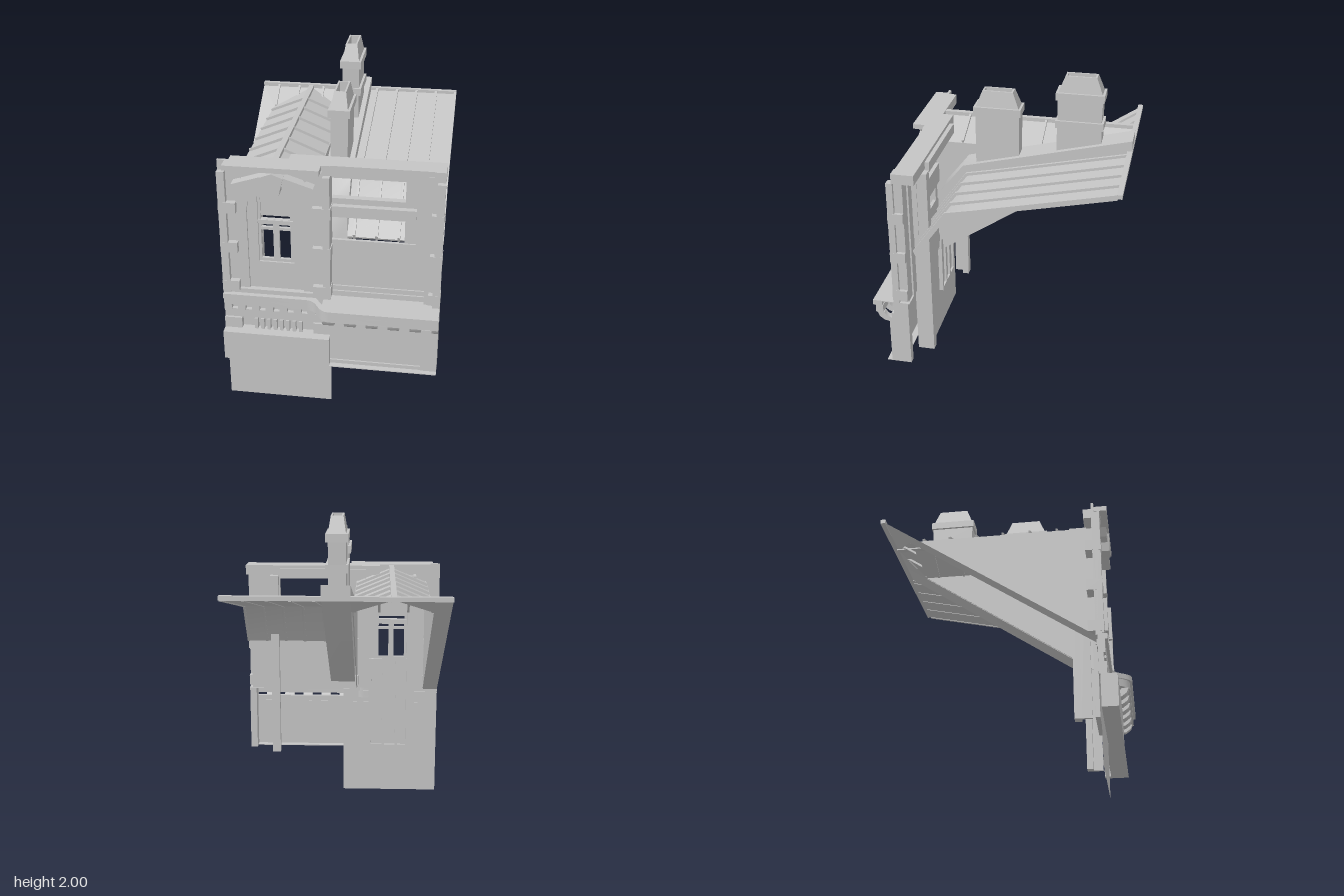
import * as THREE from 'three';
import { toCreasedNormals } from 'three/addons/utils/BufferGeometryUtils.js';

export function createModel() {
  const model = new THREE.Group();
  const stone = new THREE.MeshStandardMaterial({ color: 0xc4c4c4, side: THREE.DoubleSide });
  stone.name = 'stone grey';

  const add = (name, geo) => {
    const mesh = new THREE.Mesh(geo, stone);
    mesh.name = name;
    model.add(mesh);
    return mesh;
  };
  const box = (name, x0, x1, y0, y1, z0, z1) =>
    add(name, new THREE.BoxGeometry(x1 - x0, y1 - y0, z1 - z0)
      .translate((x0 + x1) / 2, (y0 + y1) / 2, (z0 + z1) / 2));
  const shapeOf = (pts) => new THREE.Shape(pts.map(([a, b]) => new THREE.Vector2(a, b)));
  const extrude = (shape, depth) =>
    new THREE.ExtrudeGeometry(shape, { depth, bevelEnabled: false, curveSegments: 10 });
  // side profile of [z, y] points, swept from x0 to x1
  const sweepX = (name, pts, x0, x1) =>
    add(name, toCreasedNormals(extrude(shapeOf(pts), x1 - x0).rotateY(-Math.PI / 2).translate(x1, 0, 0), 0.8));
  // front outline, swept from z0 to z1
  const sweepZ = (name, shape, z0, z1) => add(name, extrude(shape, z1 - z0).translate(0, 0, z0));
  // thin sheet of [x, z] points, lifted by a height rule
  const sheet = (name, pts, height) => {
    const geo = new THREE.ShapeGeometry(shapeOf(pts.map(([x, z]) => [x, -z])));
    const p = geo.attributes.position;
    for (let i = 0; i < p.count; i++) {
      const x = p.getX(i), z = -p.getY(i);
      p.setXYZ(i, x, height(x, z), z);
    }
    geo.computeVertexNormals();
    return add(name, geo);
  };
  const rectHole = (shape, x0, x1, y0, y1) =>
    shape.holes.push(new THREE.Path([[x0, y0], [x0, y1], [x1, y1], [x1, y0]].map(([a, b]) => new THREE.Vector2(a, b))));

  // ---- left bay: wall with an arched recess ----
  add('lowerWallSheet', new THREE.PlaneGeometry(0.634, 0.76).translate(-0.317, 0.38, 0.556));
  const archOutline = (path) => {
    path.moveTo(-0.48, 0.755);
    path.lineTo(-0.48, 1.28);
    path.bezierCurveTo(-0.48, 1.5, -0.16, 1.5, -0.16, 1.28);
    path.lineTo(-0.16, 0.755);
    path.closePath();
    return path;
  };
  const wall = shapeOf([[-0.634, 0.74], [0, 0.74], [0, 1.59], [-0.634, 1.59]]);
  wall.holes.push(archOutline(new THREE.Path()));
  sweepZ('leftWall', wall, 0.54, 0.556);
  const recess = archOutline(new THREE.Shape());
  rectHole(recess, -0.42, -0.215, 0.95, 1.37);
  sweepZ('archRecess', recess, 0.53, 0.542);

  // window frame, bars and upper pane
  const frame = shapeOf([[-0.42, 0.95], [-0.215, 0.95], [-0.215, 1.37], [-0.42, 1.37]]);
  rectHole(frame, -0.405, -0.335, 0.968, 1.155);
  rectHole(frame, -0.3, -0.235, 0.968, 1.155);
  rectHole(frame, -0.405, -0.335, 1.172, 1.19);
  rectHole(frame, -0.3, -0.235, 1.172, 1.19);
  rectHole(frame, -0.405, -0.235, 1.223, 1.357);
  sweepZ('windowFrame', frame, 0.51, 0.53);
  box('upperPane', -0.405, -0.235, 1.243, 1.357, 0.515, 0.521);
  box('windowTransom', -0.42, -0.215, 1.2, 1.222, 0.505, 0.54);
  // casing on the inside, below the window
  for (const x of [-0.47, -0.37, -0.28, -0.188]) box('lowerCasingPost', x, x + 0.018, 0.325, 0.95, 0.515, 0.53);
  for (const y of [0.325, 0.93]) box('lowerCasingRail', -0.47, -0.17, y, y + 0.018, 0.515, 0.53);
  box('lowerCasingPanel', -0.47, -0.17, 0.325, 0.95, 0.53, 0.541);

  // corner strips, pilasters and quoins
  box('leftCornerStrip', -0.634, -0.59, 0.75, 1.53, 0.55, 0.588);
  box('middleCornerStrip', -0.04, 0, 0.75, 1.53, 0.49, 0.588);
  box('rightCornerStrip', 0.59, 0.634, 0.742, 1.53, 0.55, 0.588);
  box('rightPilaster', 0.54, 0.615, 0.742, 1.56, 0.5, 0.556);
  box('rightLowerPilaster', 0.59, 0.634, 0.32, 0.745, 0.5, 0.59);
  for (const y of [0.765, 1.02, 1.275]) {
    box('leftQuoin', -0.635, -0.535, y, y + 0.066, 0.5, 0.59);
    box('middleQuoin', -0.1, 0.005, y, y + 0.066, 0.5, 0.59);
    box('rightQuoin', 0.565, 0.635, y, y + 0.066, 0.5, 0.59);
  }
  for (const s of [-1, 1]) {
    box('rearPillar', s * 0.448 - 0.027, s * 0.448 + 0.027, 0.32, 1.525, 0.4, 0.44);
    box('rearPillarFin', s * 0.467 - 0.008, s * 0.467 + 0.008, 0.32, 1.525, 0.44, 0.5);
  }

  // pediment and top cornice
  box('topCornice', -0.59, -0.05, 1.56, 1.59, 0.55, 0.63);
  sweepZ('pedimentBand', shapeOf([[-0.545, 1.475], [-0.515, 1.43], [-0.315, 1.495], [-0.115, 1.43],
    [-0.085, 1.475], [-0.315, 1.55]]), 0.55, 0.62);
  sweepZ('keystone', shapeOf([[-0.355, 1.425], [-0.275, 1.425], [-0.25, 1.53], [-0.315, 1.555], [-0.38, 1.53]]), 0.54, 0.63);
  for (const s of [-1, 1])
    sweepZ('pedimentWedge', shapeOf([[-0.315 + s * 0.27, 1.56], [-0.315 + s * 0.18, 1.5], [-0.315 + s * 0.13, 1.56]]), 0.55, 0.59);
  box('leftParapet', -0.57, 0, 1.53, 1.59, 0.49, 0.556);
  box('rightParapet', -0.24, 0.57, 1.53, 1.59, 0.425, 0.55);
  box('rightParapetEnd', 0.57, 0.634, 1.53, 1.59, 0.425, 0.556);
  box('rearLintel', -0.15, 0.41, 1.51, 1.57, 0.4, 0.43);

  // planter box and balusters of the left bay
  box('balconyBox', -0.634, 0, 0.32, 0.51, 0.558, 0.65);
  box('balconyRail', -0.634, 0, 0.58, 0.635, 0.55, 0.58);
  box('balconyPedestal', -0.634, -0.53, 0.51, 0.58, 0.55, 0.595);
  box('balconyPedestal', -0.1, 0, 0.51, 0.58, 0.55, 0.595);
  for (let i = 0; i < 8; i++) {
    const x = -0.455 + i * 0.038;
    box('baluster', x, x + 0.02, 0.51, 0.58, 0.56, 0.59);
  }

  // ---- cornice band stepping forward in a soft curve onto the right balcony ----
  const cornice = (name, front, back, y0, y1) => {
    const s = new THREE.Shape(), a = 0.605, b = 0.715;
    s.moveTo(-0.634, front - a);
    s.lineTo(-0.14, front - a);
    s.bezierCurveTo(-0.06, front - a, -0.07, front - b, 0.01, front - b);
    s.lineTo(0.634, front - b);
    s.lineTo(0.634, back - b);
    s.lineTo(0.01, back - b);
    s.bezierCurveTo(-0.07, back - b, -0.06, back - a, -0.14, back - a);
    s.lineTo(-0.634, back - a);
    s.closePath();
    add(name, toCreasedNormals(extrude(s, y1 - y0).rotateX(-Math.PI / 2).translate(0, y0, 0), 0.6));
  };
  cornice('corniceTop', 0, 0.055, 0.715, 0.747);
  cornice('corniceMiddle', 0.015, 0.06, 0.668, 0.715);
  box('balconyCover', -0.04, 0.634, 0.742, 0.747, 0.49, 0.67);
  box('wallBase', -0.634, 0, 0.745, 0.775, 0.54, 0.575);
  for (let i = 0; i < 8; i++)
    box('dentil', -0.634 + i * 0.083, -0.589 + i * 0.083, 0.635, 0.668, 0.55, 0.59);
  for (let i = 0; i < 6; i++) {
    const x = i * 0.126;
    sweepX('bracket', [[0.575, 0.607], [0.61, 0.607], [0.65, 0.615], [0.68, 0.638], [0.692, 0.668], [0.65, 0.668],
      [0.635, 0.645], [0.605, 0.635], [0.575, 0.635]], x - 0.032, Math.min(x + 0.032, 0.634));
  }

  // ---- right bay ----
  box('balconyFront', 0, 0.634, 0.32, 0.668, 0.58, 0.605);
  box('balconyFrontEnd', 0.54, 0.634, 0.32, 0.61, 0.58, 0.62);
  box('balconyFrontFoot', 0, 0.54, 0.32, 0.348, 0.58, 0.615);
  box('balconyBottomEdge', 0, 0.634, 0.32, 0.325, 0.54, 0.65);
  box('rightWall', 0, 0.54, 0.742, 1.11, 0.49, 0.51);
  box('rightSill', 0, 0.54, 0.78, 0.81, 0.5, 0.52);
  box('rightPlinth', 0, 0.54, 0.745, 0.78, 0.5, 0.53);
  box('middleRail', 0, 0.48, 1.28, 1.335, 0.46, 0.535);
  box('middleRailBacking', 0, 0.48, 1.25, 1.37, 0.46, 0.5);
  box('upperRail', 0, 0.54, 1.5, 1.53, 0.45, 0.51);
  box('sidePost', 0.415, 0.48, 1.11, 1.53, 0.46, 0.5);
  box('sideMargin', 0.48, 0.54, 1.11, 1.53, 0.49, 0.52);

  // ---- seamed roof over the right bay ----
  const roofLine = [[-0.69, 1.561], [0.1, 1.384], [0.246, 1.351], [0.437, 1.086]];
  const roofBand = (low, high) => [
    ...roofLine.map(([z, y]) => [z, y + low]),
    ...roofLine.map(([z, y], i) => [z + (i > 1 ? high * 0.5 : 0), y + high]).reverse(),
  ];
  sweepX('seamedRoof', roofBand(0, 0.012), 0.08, 0.634);
  for (const x of [0.12, 0.25, 0.377, 0.503, 0.626])
    sweepX('roofSeam', roofBand(-0.004, 0.028), x - 0.008, x + 0.008);
  box('roofBackBeam', -0.634, 0.634, 1.565, 1.59, -0.715, -0.685);

  // party wall that carries the chimneys
  sweepX('partyWall', [[-0.68, 1.563], [0.43, 0.812], [0.43, 1.225], [0.289, 1.404], [0.1, 1.451],
    [-0.712, 1.653], [-0.712, 1.59]], -0.08, 0.08);

  // ---- gabled roof behind the left bay ----
  const mid = -0.315, half = 0.225;
  const slope = (x) => 1.57 - Math.abs(x - mid) * 0.42;
  const mansard = (x, z) => 0.83 + (0.405 - z) * 0.675;
  sheet('mansardFlashing', [[-0.634, 0.55], [-0.54, 0.55], [-0.54, -0.55], [mid, -0.69], [-0.09, -0.55],
    [-0.08, -0.55], [-0.08, -0.69], [-0.634, -0.69]], mansard);
  for (const s of [-1, 1]) {
    const eave = mid + s * half;
    sheet('gableSlope', [[mid, 0.5], [eave, 0.5], [eave, -0.55], [mid, -0.69]], slope);
    sweepX('gableCheek', [[0.54, 0.739], [0.54, 1.475], [-0.55, 1.475]], eave - 0.003, eave + 0.003);
    for (let i = 0; i < 6; i++) {
      const rib = box('gableRib', -half / 2 * 1.08, half / 2 * 1.08, -0.012, 0.012, -0.006, 0.006);
      rib.rotation.z = -s * Math.atan(0.42);
      rib.position.set(mid + s * half / 2, slope(mid + half / 2) + 0.004, 0.33 - i * 0.16);
    }
    // short seams on the flashing beside the gable end
    for (const d of [0.08, 0.215])
      sweepX('flashingSeam', [[-0.55, 1.475], [-0.55, 1.49], [-0.69, 1.585], [-0.69, 1.57]],
        mid + s * d - 0.006, mid + s * d + 0.006);
  }
  box('gableRidge', mid - 0.016, mid + 0.016, 1.555, 1.586, -0.69, 0.5);

  // ---- chimneys: stacked rectangular rings, hollow at the top ----
  const chimney = (zc, rings) => {
    const pos = [], idx = [];
    rings.forEach(([y, hx, hz]) => pos.push(-hx, y, zc + hz, hx, y, zc + hz, hx, y, zc - hz, -hx, y, zc - hz));
    for (let r = 0; r < rings.length - 1; r++)
      for (let k = 0; k < 4; k++) {
        const a = r * 4 + k, b = r * 4 + (k + 1) % 4;
        idx.push(a, b, b + 4, a, b + 4, a + 4);
      }
    const e = (rings.length - 1) * 4;
    idx.push(e, e + 1, e + 2, e, e + 2, e + 3);
    const geo = new THREE.BufferGeometry();
    geo.setAttribute('position', new THREE.Float32BufferAttribute(pos, 3));
    geo.setIndex(idx);
    const flat = geo.toNonIndexed();
    flat.computeVertexNormals();
    add('chimney', flat);
  };
  const stack = (zc, base, bands, top) => {
    const rings = [[base, 0.05, 0.13]];
    for (const [y0, y1] of bands)
      rings.push([y0, 0.05, 0.13], [y0, 0.064, 0.14], [y1, 0.064, 0.14], [y1, 0.05, 0.127]);
    rings.push([top, 0.035, 0.09], [top, 0.025, 0.08], [top - 0.06, 0.025, 0.08]);
    chimney(zc, rings);
  };
  stack(0.083, 1.38, [[1.735, 1.78]], 1.875);
  stack(-0.4, 1.48, [[1.69, 1.735], [1.86, 1.905]], 2);

  return model;
}
